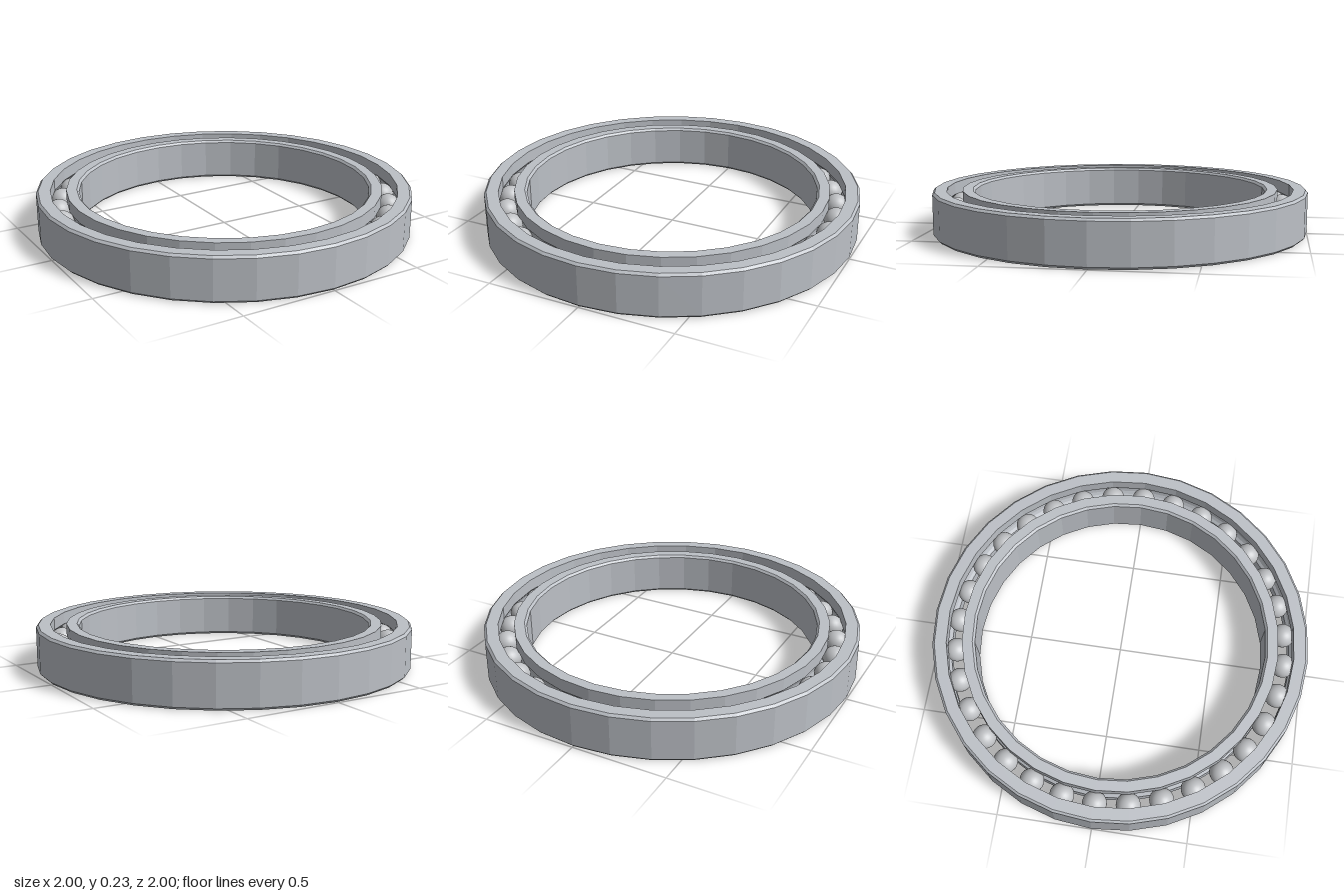
import * as THREE from 'three';

const HEIGHT = 0.233;
const BEVEL = 0.012;
const COUNT = 32;          // ring facets and balls
const PITCH = 0.884;       // radius of the ball circle
const BALL = 0.064;
const GROOVE = 0.066;

// Arc of the ball race, in profile coordinates
function groove(from, to) {
  const pts = [];
  for (let i = 0; i <= 6; i++) {
    const a = from + (to - from) * i / 6;
    pts.push([PITCH + GROOVE * Math.cos(a), HEIGHT / 2 + GROOVE * Math.sin(a)]);
  }
  return pts;
}

// Closed profile, counter-clockwise, turned into a faceted ring
function ring(name, profile, material) {
  const points = [...profile, profile[0]].map(([x, y]) => new THREE.Vector2(x, y));
  const geometry = new THREE.LatheGeometry(points, COUNT).toNonIndexed();
  geometry.computeVertexNormals();
  const mesh = new THREE.Mesh(geometry, material);
  mesh.name = name;
  return mesh;
}

export function createModel() {
  const model = new THREE.Group();
  model.name = 'ballBearing';
  const ringSteel = new THREE.MeshStandardMaterial({ color: 0xbcc0c6 });
  ringSteel.name = 'ring steel';
  const ballSteel = new THREE.MeshStandardMaterial({ color: 0xc0c2c5 });
  ballSteel.name = 'ball steel';

  // Outer race, bevelled on its outside edges
  const outer = 1, outerBore = 0.925;
  const outerAngle = Math.acos((outerBore - PITCH) / GROOVE);
  model.add(ring('outerRing', [
    [outer - BEVEL, 0], [outer, BEVEL], [outer, HEIGHT - BEVEL], [outer - BEVEL, HEIGHT],
    [outerBore, HEIGHT], ...groove(outerAngle, -outerAngle), [outerBore, 0],
  ], ringSteel));

  // Inner race, bevelled around the bore
  const bore = 0.775, innerOuter = 0.842;
  const innerAngle = Math.acos((PITCH - innerOuter) / GROOVE);
  model.add(ring('innerRing', [
    [innerOuter, 0], ...groove(Math.PI + innerAngle, Math.PI - innerAngle), [innerOuter, HEIGHT],
    [bore + BEVEL, HEIGHT], [bore, HEIGHT - BEVEL], [bore, BEVEL], [bore + BEVEL, 0],
  ], ringSteel));

  // Balls between the races
  const balls = new THREE.Group();
  balls.name = 'balls';
  const ballGeometry = new THREE.SphereGeometry(BALL, 24, 16);
  for (let i = 0; i < COUNT; i++) {
    const a = i * 2 * Math.PI / COUNT;
    const ball = new THREE.Mesh(ballGeometry, ballSteel);
    ball.name = 'ball';
    ball.position.set(PITCH * Math.sin(a), HEIGHT / 2, PITCH * Math.cos(a));
    ball.rotation.y = a;
    balls.add(ball);
  }
  model.add(balls);
  return model;
}
